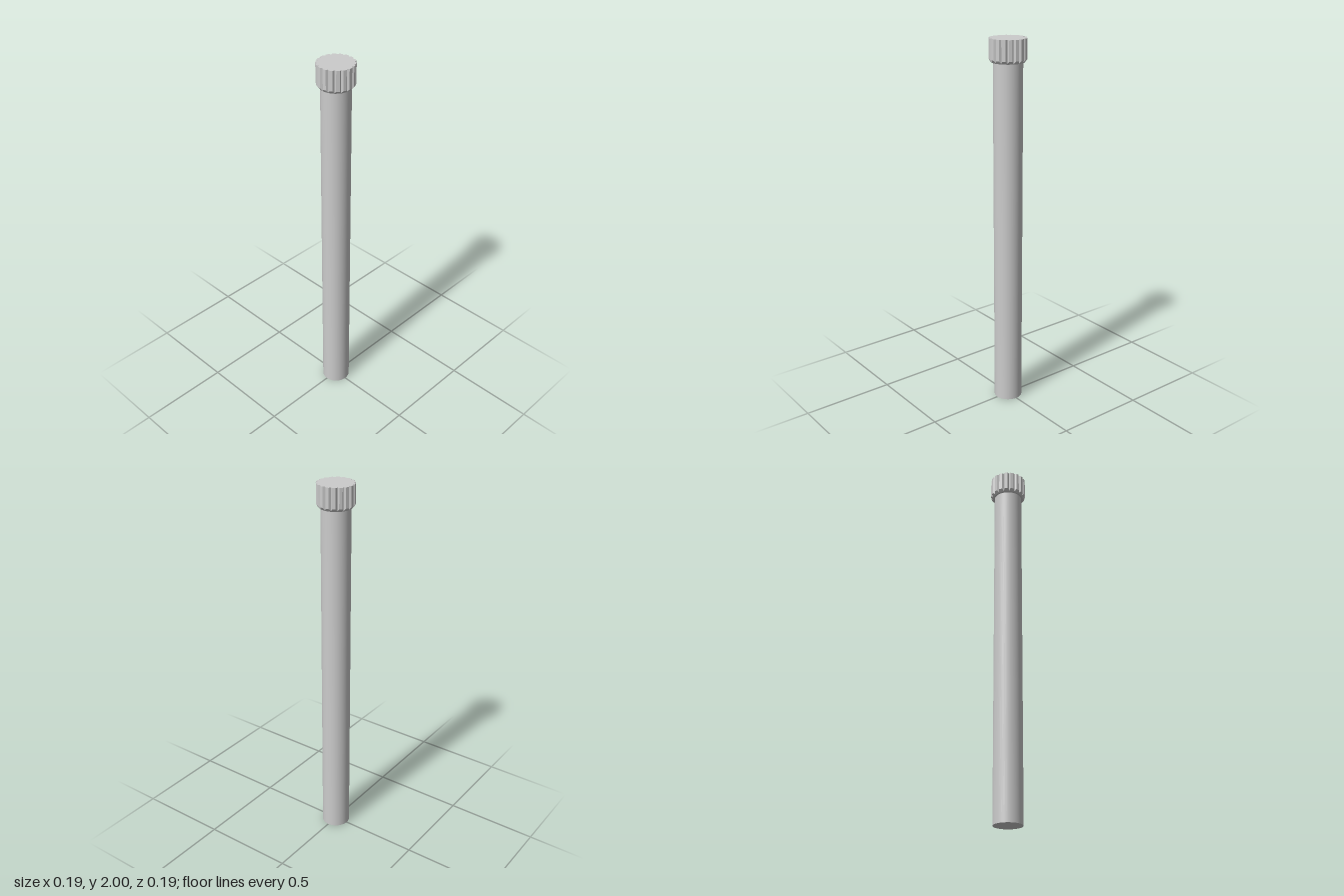
import * as THREE from 'three';

const LOBES = 18, CAP_R = 0.097, NOTCH_R = 0.088, RIM_R = 0.085;
const CAP_BOTTOM = 1.88, TOP = 2, SHAFT_R = 0.076;

// Grip cap: outline of flat lobes and V notches, chamfered towards the underside
function capGeometry() {
  const outline = [];
  for (let i = 0; i < LOBES; i++) {
    for (const [offset, r] of [[-5, CAP_R], [5, CAP_R], [10, NOTCH_R]]) {
      outline.push([THREE.MathUtils.degToRad(i * 360 / LOBES + offset), r]);
    }
  }
  const point = (a, r, y) => [r * Math.cos(a), y, -r * Math.sin(a)];
  const n = outline.length;
  const rings = [
    outline.map(([a]) => point(a, 0, CAP_BOTTOM)),
    outline.map(([a]) => point(a, RIM_R, CAP_BOTTOM)),
    outline.map(([a, r]) => point(a, r, CAP_BOTTOM + (r - RIM_R) * 1.3)),
    outline.map(([a, r]) => point(a, r, TOP)),
    outline.map(([a]) => point(a, 0, TOP)),
  ];
  const positions = [];
  for (let k = 0; k < rings.length - 1; k++) {
    for (let i = 0; i < n; i++) {
      const j = (i + 1) % n;
      const a = rings[k][i], b = rings[k][j], c = rings[k + 1][j], d = rings[k + 1][i];
      if (k > 0) positions.push(...a, ...b, ...c);
      if (k < rings.length - 2) positions.push(...a, ...c, ...d);
    }
  }
  const geometry = new THREE.BufferGeometry();
  geometry.setAttribute('position', new THREE.Float32BufferAttribute(positions, 3));
  geometry.computeVertexNormals();
  return geometry;
}

export function createModel() {
  const model = new THREE.Group();
  model.name = 'cappedTube';

  // Long smooth shaft
  const shaft = new THREE.Mesh(
    new THREE.CylinderGeometry(SHAFT_R, SHAFT_R, CAP_BOTTOM, 64),
    new THREE.MeshStandardMaterial({ color: 0xcccccc }));
  shaft.name = 'shaft';
  shaft.position.y = CAP_BOTTOM / 2;

  // Notched cap
  const cap = new THREE.Mesh(capGeometry(),
    new THREE.MeshStandardMaterial({ color: 0xcccccc, flatShading: true }));
  cap.name = 'gripCap';

  model.add(shaft, cap);
  return model;
}
